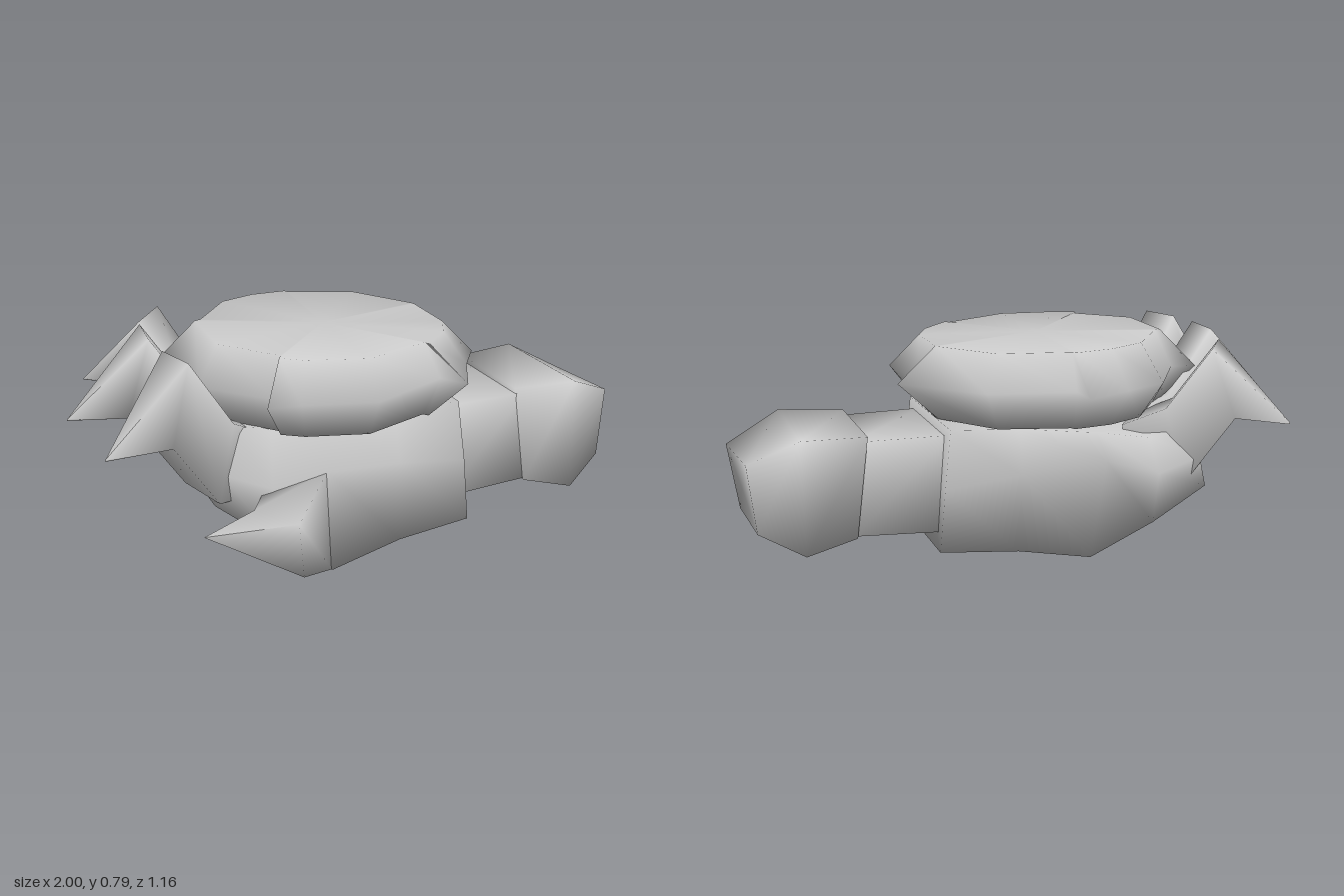
import * as THREE from 'three';

const material = new THREE.MeshStandardMaterial({ color: 0xcccccc, side: THREE.DoubleSide });

// Skin a list of equal-sized rings of [x, y, z] points and close both ends with fans.
function loft(name, rings) {
  const n = rings[0].length;
  const points = rings.flat();
  const index = [];
  for (let r = 0; r < rings.length - 1; r++) {
    for (let i = 0; i < n; i++) {
      const a = r * n + i, b = r * n + (i + 1) % n;
      index.push(a, b, b + n, a, b + n, a + n);
    }
  }
  [0, rings.length - 1].forEach((r) => {
    const centre = [0, 1, 2].map((k) => rings[r].reduce((s, p) => s + p[k], 0) / n);
    const c = points.push(centre) - 1;
    for (let i = 0; i < n; i++) {
      const a = r * n + i, b = r * n + (i + 1) % n;
      index.push(...(r === 0 ? [c, b, a] : [c, a, b]));
    }
  });
  // Turn the faces outward if the enclosed volume comes out negative
  const v = points.map((p) => new THREE.Vector3(...p));
  let volume = 0;
  for (let i = 0; i < index.length; i += 3) {
    volume += v[index[i]].dot(v[index[i + 1]].clone().cross(v[index[i + 2]]));
  }
  if (volume < 0) index.reverse();
  const geometry = new THREE.BufferGeometry().setFromPoints(v);
  geometry.setIndex(index);
  geometry.computeVertexNormals();
  const mesh = new THREE.Mesh(geometry, material);
  mesh.name = name;
  return mesh;
}

// Four-cornered section across x: bottom and top edge, each [x, y, zFront, zBack]
const section = (b, t) => [
  [b[0], b[1], b[2]], [t[0], t[1], t[2]], [t[0], t[1], t[3]], [b[0], b[1], b[3]],
];

// Six-cornered section with a bulging middle edge; the top edge may drop at the back
const bulged = (b, m, t, yBack = t[1]) => [
  [b[0], b[1], b[2]], [m[0], m[1], m[2]], [t[0], t[1], t[2]],
  [t[0], yBack, t[3]], [m[0], m[1], m[3]], [b[0], b[1], b[3]],
];

// Thick saw-toothed disc: traced middle outline, with narrower top and bottom rims
function makeDisc() {
  const outline = [
    [0.21, -0.40], [0.45, -0.15], [0.37, -0.11], [0.40, 0.18], [0.31, 0.31],
    [0.22, 0.49], [0.16, 0.405], [-0.12, 0.53], [-0.36, 0.465], [-0.47, 0.45],
    [-0.42, 0.38], [-0.61, 0.17], [-0.65, -0.18], [-0.56, -0.17], [-0.41, -0.42],
    [-0.25, -0.495], [-0.08, -0.58], [-0.08, -0.46],
  ];
  const cx = -0.12, cz = 0.02;
  const rim = (y, slope) => outline.map(([x, z]) => {
    const r = Math.hypot(x - cx, z - cz);
    const s = Math.min(0.87 * r, 0.435) / r;
    const px = cx + (x - cx) * s;
    return [px, y - slope * (px - cx), cz + (z - cz) * s];
  });
  const middle = outline.map(([x, z]) => [x, 0.66, z]);
  return loft('disc', [rim(0.523, 0.015), middle, rim(0.783, 0.025)]);
}

// Curled claw pointing along -x from its root, turned towards the back by an angle
function makeFinger({ x, z, angle, scale, root, under, top, peak }) {
  const finger = loft('finger', [
    section([0.08, 0.29, root, -root], [0.10, 0.48, root, -root]),
    section([-0.14, 0.29, root, -root], [-0.06, 0.55, 0.09, -0.09]),
    section([-0.31, 0.53, under, -under], [-0.22, peak, top, -top]),
    section([-0.50, 0.50, 0, 0], [-0.50, 0.505, 0, 0]),
  ]);
  finger.position.set(x, 0, z);
  finger.rotation.y = -angle;
  finger.scale.x = scale;
  return finger;
}

export function createModel() {
  const model = new THREE.Group();
  model.name = 'clawedHand';

  // Palm
  model.add(loft('palm', [
    bulged([0.33, 0.07, 0.32, -0.23], [0.315, 0.30, 0.31, -0.25], [0.30, 0.515, 0.28, -0.27]),
    bulged([0.05, 0.05, 0.34, -0.25], [0.05, 0.34, 0.33, -0.29], [0.05, 0.52, 0.28, -0.27], 0.50),
    bulged([-0.22, 0.0, 0.37, -0.26], [-0.24, 0.38, 0.39, -0.345], [-0.22, 0.53, 0.28, -0.29], 0.47),
    bulged([-0.42, 0.14, 0.35, -0.35], [-0.42, 0.33, 0.34, -0.39], [-0.40, 0.53, 0.28, -0.34], 0.45),
    bulged([-0.60, 0.27, 0.27, -0.39], [-0.57, 0.38, 0.28, -0.40], [-0.52, 0.53, 0.25, -0.35], 0.48),
  ]));

  // Thumb
  model.add(loft('thumb', [
    [[-0.24, 0.38, 0.38], [-0.45, 0.31, 0.32], [-0.44, 0.15, 0.32], [-0.22, 0.0, 0.365]],
    [[-0.42, 0.31, 0.585], [-0.50, 0.285, 0.38], [-0.47, 0.16, 0.38], [-0.40, 0.11, 0.57]],
    Array.from({ length: 4 }, () => [-0.68, 0.23, 0.40]),
  ]));

  // Fingers
  [
    { x: -0.46, z: -0.24, angle: 0.59, scale: 0.96, root: 0.08, under: 0.09, top: 0.10, peak: 0.77 },
    { x: -0.50, z: -0.07, angle: 0.08, scale: 1, root: 0.11, under: 0.12, top: 0.09, peak: 0.79 },
    { x: -0.49, z: 0.16, angle: -0.27, scale: 0.97, root: 0.11, under: 0.11, top: 0.08, peak: 0.79 },
  ].forEach((f) => model.add(makeFinger(f)));

  // Wrist
  model.add(loft('wrist', [
    section([0.28, 0.13, 0.24, -0.19], [0.28, 0.48, 0.23, -0.20]),
    section([0.62, 0.145, 0.23, -0.18], [0.62, 0.48, 0.21, -0.19]),
  ]));

  // Rounded cuff at the wrist end
  model.add(loft('cuff', [
    section([0.61, 0.14, 0.24, -0.19], [0.57, 0.50, 0.21, -0.21]),
    section([0.79, 0.10, 0.28, -0.21], [0.80, 0.51, 0.25, -0.235]),
    [[0.96, 0.17, 0.19], [1.0, 0.42, 0.16], [0.97, 0.42, -0.15], [0.94, 0.17, -0.13]],
  ]));

  model.add(makeDisc());
  return model;
}
